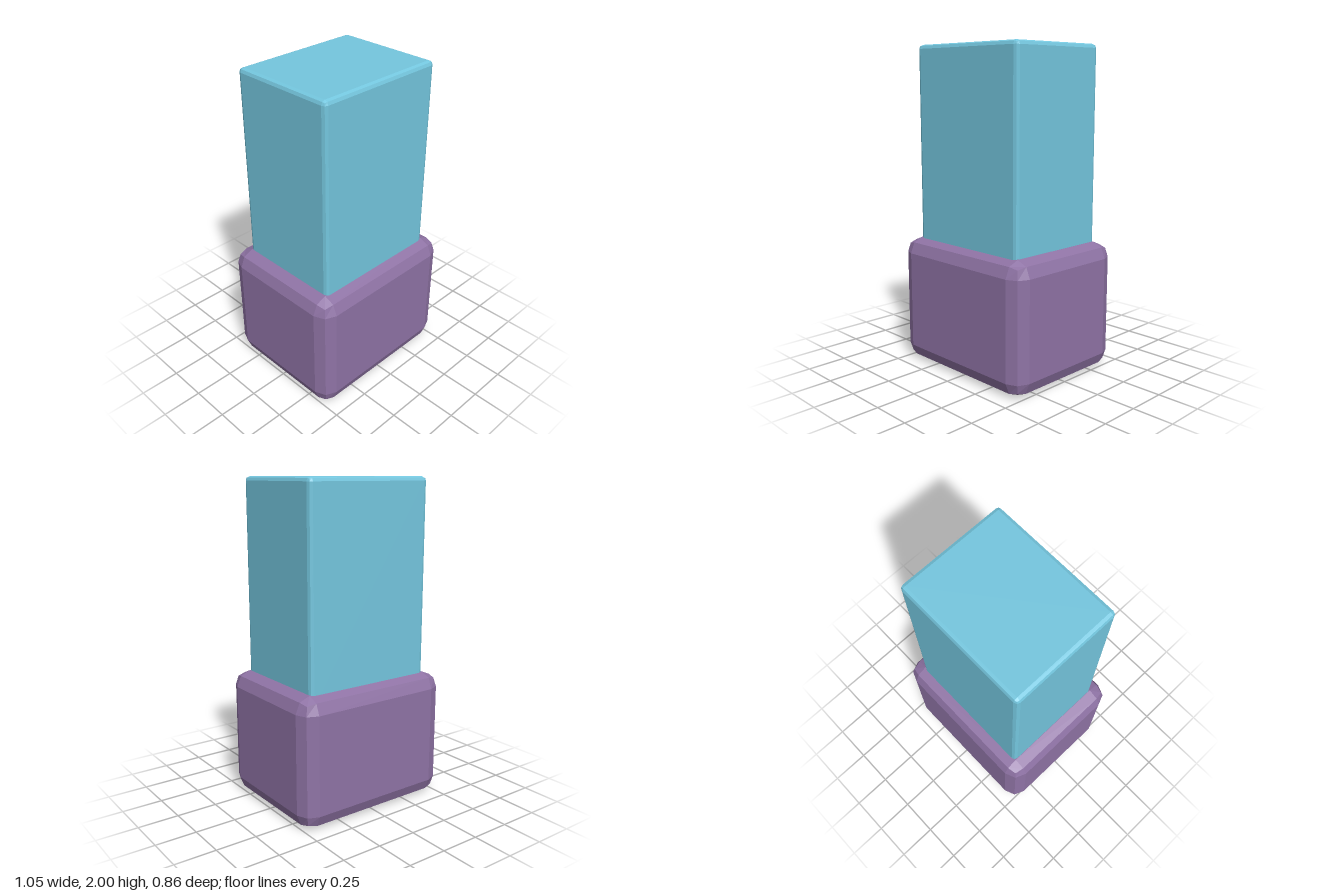
import * as THREE from 'three';
import { RoundedBoxGeometry } from 'three/addons/geometries/RoundedBoxGeometry.js';

// Faceted block with two-step bevelled edges, spanning bottom..top in y
function bevelBlock(name, width, depth, bottom, top, bevel, material) {
  let geometry = new RoundedBoxGeometry(width, top - bottom, depth, 1, bevel);
  if (geometry.index) geometry = geometry.toNonIndexed();
  geometry.computeVertexNormals(); // one normal per facet
  const mesh = new THREE.Mesh(geometry, material);
  mesh.name = name;
  mesh.position.y = (bottom + top) / 2;
  return mesh;
}

export function createModel() {
  const purple = new THREE.MeshStandardMaterial({ color: 0x8f73a5, flatShading: true });
  purple.name = 'purple';
  const teal = new THREE.MeshStandardMaterial({ color: 0x74c6de, flatShading: true });
  teal.name = 'teal';

  const model = new THREE.Group();
  model.name = 'blockBottle';

  // Wide base with broad bevels
  model.add(bevelBlock('base', 1.046, 0.856, 0, 0.8, 0.095, purple));
  // Tall upper block with fine bevels, sunk into the base
  model.add(bevelBlock('upperBlock', 0.852, 0.686, 0.7, 2, 0.025, teal));

  return model;
}
